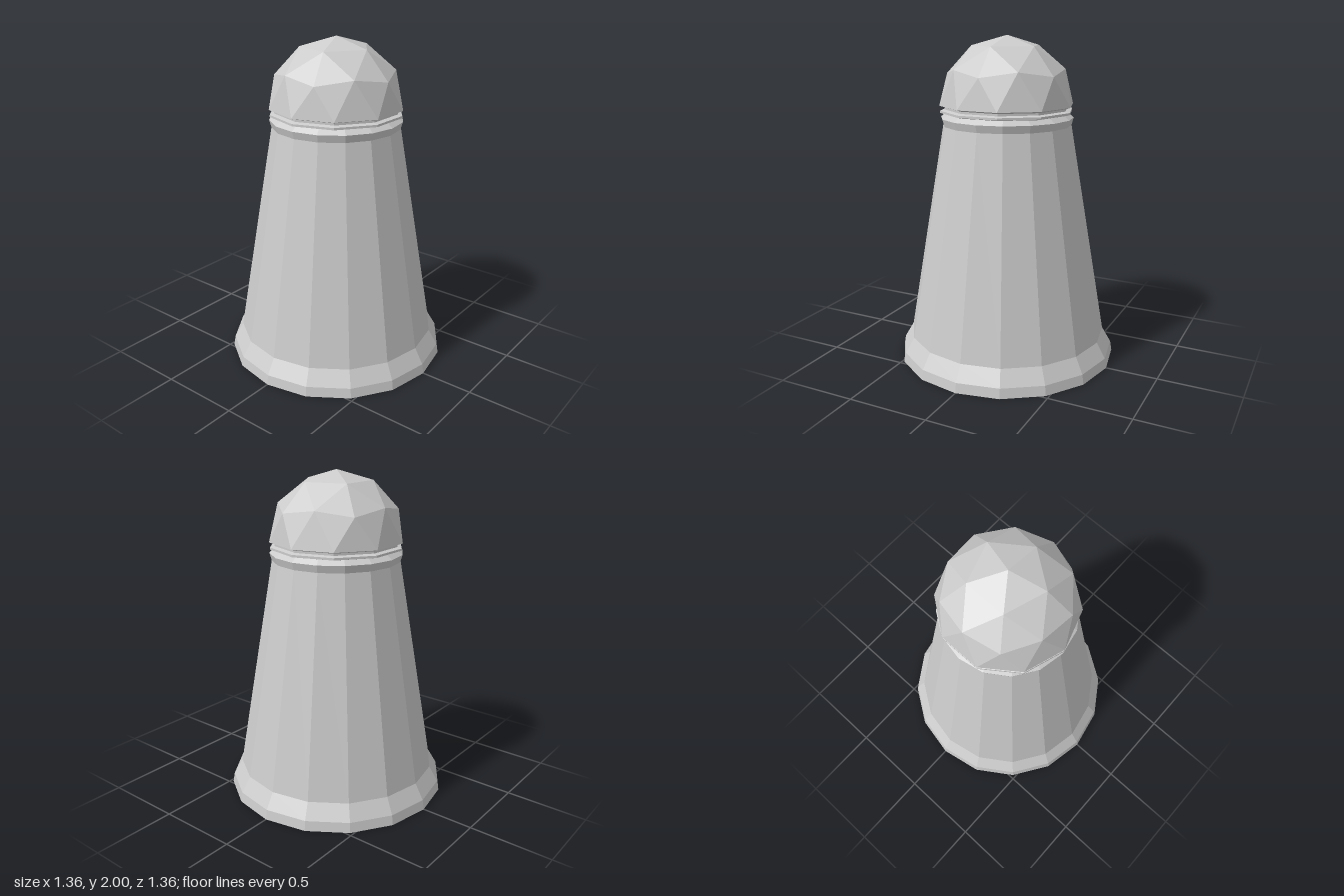
import * as THREE from 'three';

const material = new THREE.MeshStandardMaterial({ color: 0xcccccc, flatShading: true });

// Faceted turned part from [radius, height] pairs, listed bottom to top
function turned(name, profile, sides) {
  const points = profile.map(([r, y]) => new THREE.Vector2(r, y));
  const mesh = new THREE.Mesh(new THREE.LatheGeometry(points, sides), material);
  mesh.name = name;
  return mesh;
}

// Upper half of a once-subdivided icosahedron with a corner at the top
function domeGeometry(radius) {
  const at = (elevation, degrees) => {
    const a = THREE.MathUtils.degToRad(degrees);
    const e = THREE.MathUtils.degToRad(elevation);
    return new THREE.Vector3(Math.cos(e) * Math.cos(a), Math.sin(e), -Math.cos(e) * Math.sin(a)).multiplyScalar(radius);
  };
  const corners = [];
  const top = at(90, 0);
  for (let k = 0; k < 5; k++) {
    const a = 72 * k;
    const m = at(58.28, a), mNext = at(58.28, a + 72);
    const u = at(26.57, a), uNext = at(26.57, a + 72);
    const v = at(31.72, a + 36);
    const e0 = at(0, a - 18), e1 = at(0, a + 18), e2 = at(0, a + 54);
    corners.push(
      top, m, mNext,
      m, u, v,
      m, v, mNext,
      mNext, v, uNext,
      u, e1, v,
      v, e1, e2,
      v, e2, uNext,
      u, e0, e1
    );
  }
  const geometry = new THREE.BufferGeometry().setFromPoints(corners);
  geometry.computeVertexNormals();
  return geometry;
}

export function createModel() {
  const model = new THREE.Group();
  model.name = 'shaker';

  // Tapered body with a flared foot and a recessed underside
  model.add(turned('body', [
    [0, 0.1], [0.63, 0.1], [0.68, 0], [0.67, 0.06], [0.615, 0.155],
    [0.39, 1.47], [0.403, 1.515], [0.365, 1.545], [0, 1.545],
  ], 16));

  // Ridged collar under the cap
  model.add(turned('collar', [
    [0, 1.535], [0.375, 1.54], [0.405, 1.547], [0.405, 1.56],
    [0.378, 1.567], [0.378, 1.58], [0.41, 1.59],
  ], 10));

  // Domed cap
  const cap = new THREE.Mesh(domeGeometry(0.41), material);
  cap.name = 'cap';
  cap.position.y = 1.59;
  model.add(cap);

  return model;
}
